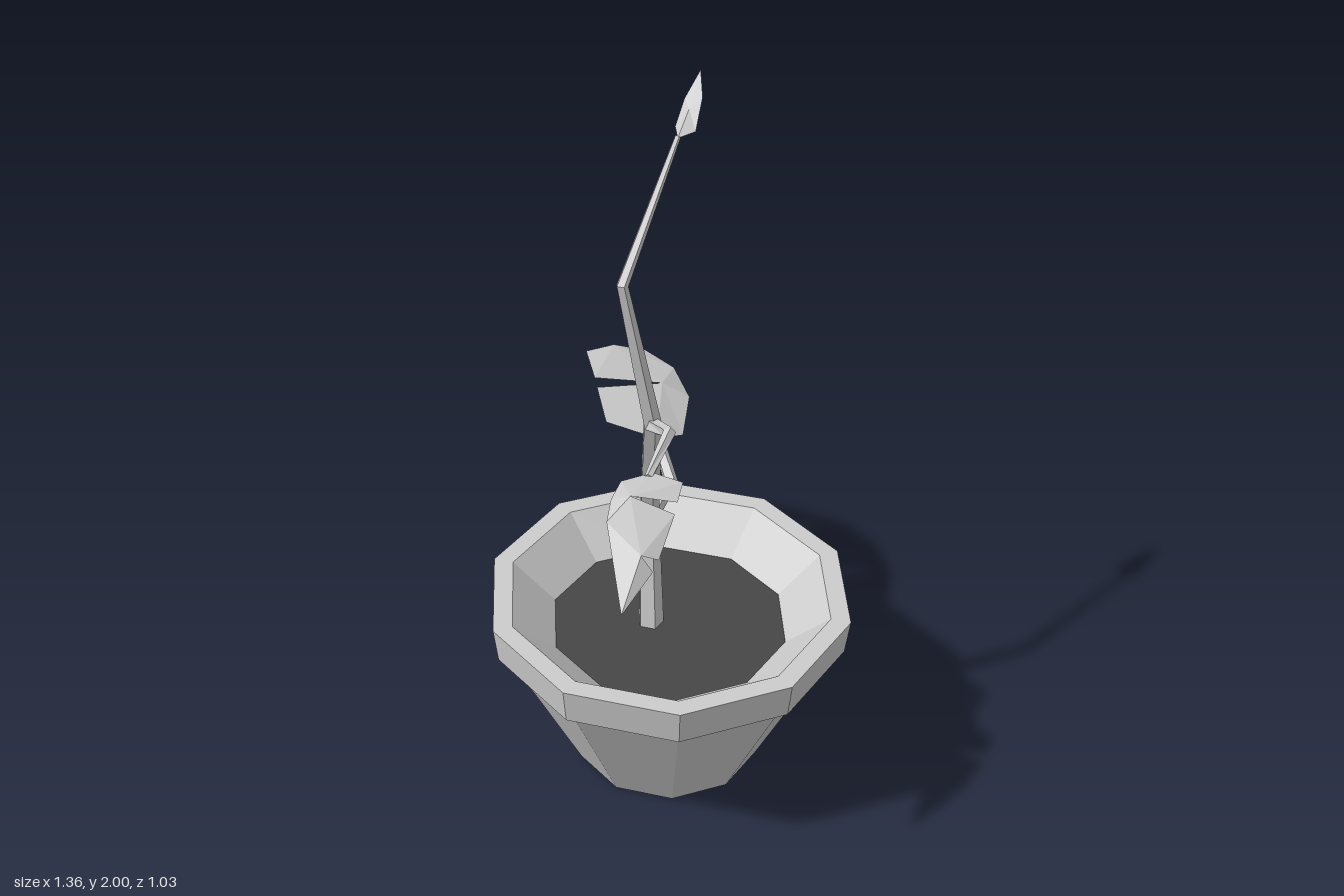
import * as THREE from 'three';

const grey = new THREE.MeshStandardMaterial({ name: 'light grey', color: 0xcccccc, flatShading: true, side: THREE.DoubleSide });
const dark = new THREE.MeshStandardMaterial({ name: 'dark soil', color: 0x464646, flatShading: true });

const UP = new THREE.Vector3(0, 1, 0);

function part(name, geometry, material) {
  const mesh = new THREE.Mesh(geometry, material);
  mesh.name = name;
  return mesh;
}

// Tapered five-sided stalk through points given as [x, y, z, radius]
function stalk(name, pts) {
  const n = pts.length - 1;
  const at = i => new THREE.Vector3(...pts[Math.min(n, Math.max(0, i))].slice(0, 3));
  const geo = new THREE.CylinderGeometry(1, 1, 1, 5, n);
  const pos = geo.attributes.position;
  const q = new THREE.Quaternion();
  for (let i = 0; i < pos.count; i++) {
    const row = Math.round((pos.getY(i) + 0.5) * n);
    const before = at(row).sub(at(row - 1)).normalize();
    const after = at(row + 1).sub(at(row)).normalize();
    q.setFromUnitVectors(UP, before.add(after).normalize());
    const v = new THREE.Vector3(pos.getX(i), 0, pos.getZ(i)).multiplyScalar(pts[row][3]);
    v.applyQuaternion(q).add(at(row));
    pos.setXYZ(i, v.x, v.y, v.z);
  }
  geo.computeVertexNormals();
  return part(name, geo, grey);
}

// Thin leaf blade made of polygons, each one fanned from its first point
function blade(name, polygons) {
  const out = [];
  for (const p of polygons)
    for (let i = 1; i < p.length - 1; i++) {
      const tri = [p[0], p[i], p[i + 1]].map(c => new THREE.Vector3(...c));
      const up = tri[1].clone().sub(tri[0]).cross(tri[2].clone().sub(tri[0])).y;
      if (up < 0) tri.reverse();
      tri.forEach(v => out.push(v.x, v.y, v.z));
    }
  const geo = new THREE.BufferGeometry();
  geo.setAttribute('position', new THREE.Float32BufferAttribute(out, 3));
  geo.computeVertexNormals();
  return part(name, geo, grey);
}

// Large leaf: smooth rear edge, notched front edge
function largeLeaf() {
  const base = [-0.045, 0.885, -0.15], tip = [-0.68, 0.7, -0.43];
  const rib1 = [-0.228, 0.905, -0.318], rib2 = [-0.5, 0.885, -0.354];
  const e1 = [-0.05, 0.85, -0.25], e2 = [-0.17, 0.865, -0.372];
  const e3 = [-0.312, 0.87, -0.43], e4 = [-0.455, 0.855, -0.438];
  return blade('largeLeaf', [
    [rib1, base, e1, e2, e3], [rib2, rib1, e3, e4, tip],
    [rib1, base, [-0.16, 0.915, -0.062], [-0.29, 0.935, -0.13]],
    [rib2, rib1, [-0.327, 0.94, -0.15], [-0.516, 0.89, -0.263]],
    [rib2, [-0.55, 0.86, -0.292], tip],
  ]);
}

// Small leaf: same build, drooping to the front
function smallLeaf() {
  const base = [0.396, 1.185, 0.22], tip = [0.642, 1.035, 0.512];
  const rib1 = [0.465, 1.21, 0.345], rib2 = [0.595, 1.14, 0.415];
  const e1 = [0.37, 1.18, 0.3], e2 = [0.42, 1.185, 0.37], e3 = [0.48, 1.18, 0.43];
  return blade('smallLeaf', [
    [rib1, base, e1, e2, e3], [rib2, rib1, e3, tip],
    [rib1, base, [0.49, 1.2, 0.2], [0.53, 1.185, 0.25]],
    [rib2, rib1, [0.553, 1.175, 0.277], [0.615, 1.12, 0.376]],
    [rib2, [0.622, 1.1, 0.4], tip],
  ]);
}

// Young leaf at the top of the stem
function topLeaf() {
  const base = [0.075, 1.875, -0.11], tip = [0.01, 2, -0.235];
  const rib = [0.045, 1.925, -0.17];
  return blade('topLeaf', [
    [rib, base, [0.028, 1.88, -0.14], [0.015, 1.94, -0.18], tip],
    [rib, tip, [0.055, 1.95, -0.205], [0.09, 1.885, -0.155], base],
  ]);
}

export function createModel() {
  const model = new THREE.Group();
  model.name = 'pottedPlant';

  // Ten-sided pot with a lip and a sloping inner wall
  const pot = new THREE.Group();
  pot.name = 'pot';
  pot.position.set(0.168, 0, -0.028);
  const profile = [[0, 0], [0.265, 0], [0.46, 0.405], [0.5, 0.435], [0.5125, 0.54], [0.457, 0.54], [0.333, 0.43]]
    .map(p => new THREE.Vector2(...p));
  pot.add(part('potBody', new THREE.LatheGeometry(profile, 10, Math.PI / 2), grey));
  const soil = part('soil', new THREE.CircleGeometry(0.335, 10).rotateX(-Math.PI / 2), dark);
  soil.position.y = 0.431;
  pot.add(soil);
  model.add(pot);

  // Stem and the two leaf stalks
  model.add(
    stalk('mainStem', [
      [0.14, 0.42, 0.015, 0.037], [0.097, 0.76, -0.01, 0.029], [0.205, 1.17, 0.07, 0.025],
      [0.187, 1.6, 0.153, 0.016], [0.075, 1.88, -0.11, 0.008]]),
    stalk('largeLeafStalk', [
      [0.1, 0.765, -0.01, 0.025], [0.055, 0.81, -0.12, 0.022], [-0.055, 0.885, -0.16, 0.016]]),
    stalk('smallLeafStalk', [
      [0.205, 1.16, 0.07, 0.022], [0.335, 1.228, 0.118, 0.017], [0.405, 1.185, 0.24, 0.011]]),
  );

  model.add(largeLeaf(), smallLeaf(), topLeaf());
  return model;
}
